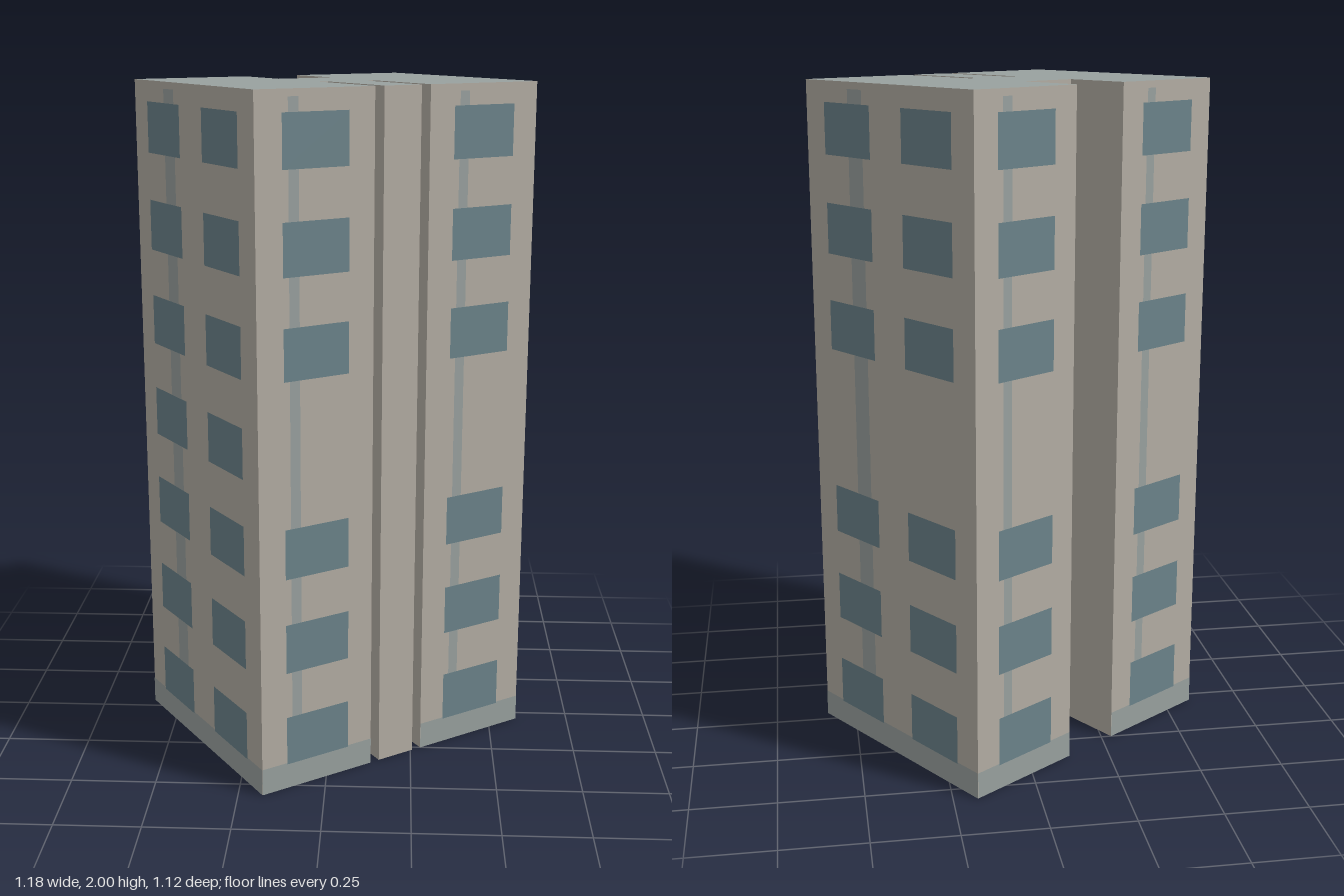
import * as THREE from 'three';

const H = 2, W = 0.463, D = 0.364, BASE = 0.08;
const mat = (color, side = THREE.FrontSide) => new THREE.MeshStandardMaterial({ color, side });

export function createModel() {
  const wallMat = mat(0xb3ada3, THREE.DoubleSide);
  const roofMat = mat(0x99a19f, THREE.DoubleSide);
  const trimMat = mat(0x99a19f);
  const glassMat = mat(0x6b838a);

  const tower = new THREE.Group();
  tower.name = 'tower';
  tower.rotation.y = 0.597;

  // Footprint: two thin slots in front, one wide notch behind
  const outline = [
    [-W, D], [-0.091, D], [-0.091, 0.073], [-0.061, 0.073], [-0.061, D],
    [0.061, D], [0.061, 0.073], [0.091, 0.073], [0.091, D], [W, D],
    [W, -D], [0.092, -D], [0.092, -0.157], [-0.092, -0.157], [-0.092, -D], [-W, -D],
  ];

  // Roof
  const shape = new THREE.Shape(outline.map(([x, z]) => new THREE.Vector2(x, -z)));
  const roof = new THREE.Mesh(new THREE.ShapeGeometry(shape).rotateX(-Math.PI / 2), roofMat);
  roof.position.y = H;
  roof.name = 'roof';
  tower.add(roof);

  // Upright rectangle on a facade; x runs to the right seen from outside
  function panel(facade, name, x, y, w, h, lift, material) {
    const m = new THREE.Mesh(new THREE.PlaneGeometry(w, h), material);
    m.position.set(x, y, lift);
    m.name = name;
    facade.add(m);
  }

  // One facade per outline edge, open at the bottom
  const facades = outline.map(([x0, z0], i) => {
    const [x1, z1] = outline[(i + 1) % outline.length];
    const facade = new THREE.Group();
    facade.name = 'facade';
    facade.position.set((x0 + x1) / 2, 0, (z0 + z1) / 2);
    facade.rotation.y = Math.atan2(z0 - z1, x1 - x0);
    facade.userData.width = Math.hypot(x1 - x0, z1 - z0);
    panel(facade, 'wall', 0, H / 2, facade.userData.width, H, 0, wallMat);
    tower.add(facade);
    return facade;
  });

  // Base band, drainpipe strip and window rows
  function dress(index, columns, stripX, stripW, rows) {
    const f = facades[index];
    panel(f, 'baseBand', 0, BASE / 2, f.userData.width, BASE, 0.001, trimMat);
    panel(f, 'verticalStrip', stripX, (BASE + 1.98) / 2, stripW, 1.98 - BASE, 0.001, trimMat);
    for (const x of columns)
      for (const r of rows)
        panel(f, 'window', x, 0.15 + r * 0.286, 0.208, 0.148, 0.002, glassMat);
  }
  const sixRows = [0, 1, 2, 4, 5, 6];
  const allRows = [0, 1, 2, 3, 4, 5, 6];
  for (const i of [0, 8, 10, 14]) dress(i, [0], -0.069, 0.032, sixRows);
  dress(9, [-0.173, 0.173], -0.136, 0.064, sixRows);
  dress(15, [-0.173, 0.173], -0.136, 0.064, allRows);

  const model = new THREE.Group();
  model.name = 'apartmentTower';
  model.add(tower);
  return model;
}
